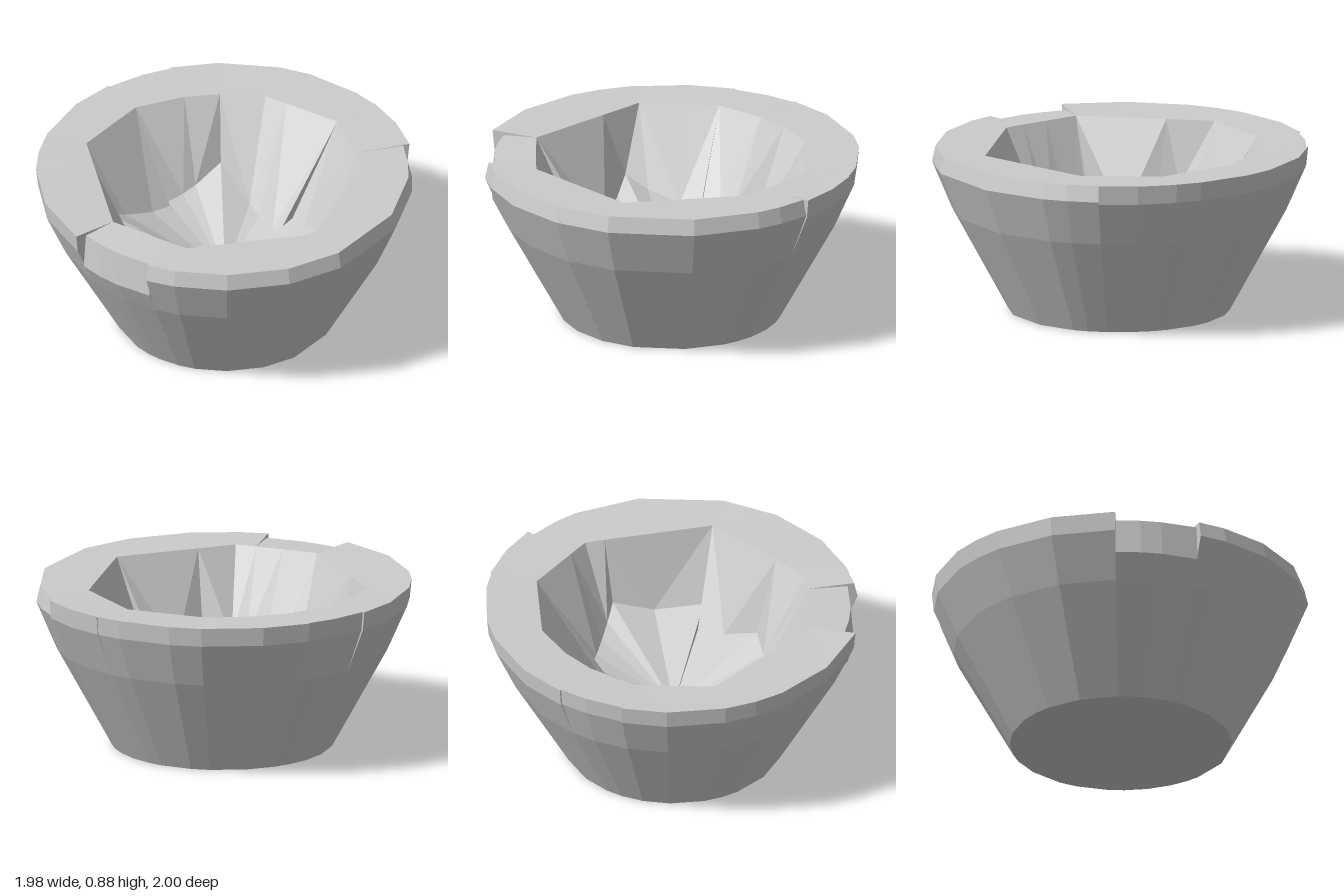
import * as THREE from 'three';

const FLOOR_Y = 0.22;

// Inner rim corners, counterclockwise from the front
const RIM = [[0, 0.75], [0.43, 0.6], [0.74, 0], [0.41, -0.6], [0, -0.75],
  [-0.42, -0.6], [-0.65, -0.35], [-0.76, 0], [-0.66, 0.41], [0, 0.75]];

// Floor edge in each quarter
const FLOOR = {
  frontLeft: [[0, 0.56], [0.13, 0.5], [0.43, 0.33], [0.46, 0]],
  backLeft: [[0.57, 0], [0.41, -0.45], [0, -0.45]],
  backRight: [[0, -0.36], [-0.49, -0.36], [-0.49, 0]],
  frontRight: [[-0.47, 0], [-0.47, 0.42], [0, 0.42]],
};

// Outer lip: shoulder and top edge as height and share of the radius
const PLAIN = { shoulder: [0.78, 0.99], top: [0.88, 1] };
const FLARED = { shoulder: [0.79, 1], top: [0.875, 0.98] };
const NOTCH = { shoulder: [0.67, 0.965], top: [0.86, 0.95] };

// Name, quarter, lip, outer radius, facet angles in degrees from the front
const SEGMENTS = [
  ['frontNotchSegment', 'frontLeft', NOTCH, 0.98, [0, 8, 15, 27]],
  ['frontLeftSegment', 'frontLeft', FLARED, 0.985, [27, 36, 52.5, 72, 90]],
  ['backLeftSegment', 'backLeft', FLARED, 0.985, [90, 117, 138, 146, 156]],
  ['backSegment', 'backLeft', PLAIN, 1, [156, 168, 180]],
  ['backRightSegment', 'backRight', PLAIN, 0.995, [180, 188, 205, 215, 234, 249]],
  ['rightSegment', 'backRight', PLAIN, 0.985, [249, 258, 270]],
  ['frontRightSegment', 'frontRight', PLAIN, 0.995, [270, 284, 302, 312, 321, 340, 360]],
];

// Distance from the centre to a polyline in direction (dx, dz)
function reach(line, dx, dz) {
  for (let i = 0; i < line.length - 1; i++) {
    const [px, pz] = line[i], [qx, qz] = line[i + 1];
    const p = dx * pz - dz * px, q = dx * qz - dz * qx;
    const t = p / (p - q);
    const dist = dx * (px + (qx - px) * t) + dz * (pz + (qz - pz) * t);
    if (t > -1e-6 && t < 1 + 1e-6 && dist > 0) return dist;
  }
}

// Closed cross-section from the base centre, up the outside, down the inside
function crossSection(degrees, quarter, lip, radius) {
  const a = THREE.MathUtils.degToRad(degrees);
  const dx = Math.sin(a), dz = Math.cos(a);
  const floor = reach(FLOOR[quarter], dx, dz);
  return [
    [0, 0],
    [0.585, 0],
    [0.88, 0.54],
    [radius * lip.shoulder[1], lip.shoulder[0]],
    [radius * lip.top[1], lip.top[0]],
    [reach(RIM, dx, dz), 0.87],
    [floor, FLOOR_Y + 0.8 * floor * floor],
    [0, FLOOR_Y],
  ].map(([r, y]) => [dx * r, y, dz * r]);
}

// Solid wedge of the bowl lofted through its cross-sections
function wedge(sections) {
  const pos = [];
  const tri = (a, b, c) => pos.push(...a, ...b, ...c);

  for (let i = 0; i < sections.length - 1; i++) {
    const A = sections[i], B = sections[i + 1];
    tri(A[0], B[1], A[1]);
    for (let j = 1; j < 6; j++) {
      // Alternating diagonals give the irregular facets
      if ((i + j) % 2) {
        tri(A[j], B[j], B[j + 1]);
        tri(A[j], B[j + 1], A[j + 1]);
      } else {
        tri(A[j], B[j], A[j + 1]);
        tri(B[j], B[j + 1], A[j + 1]);
      }
    }
    tri(A[6], B[6], A[7]);
  }

  // End faces, showing as steps where neighbouring wedges differ
  const first = sections[0], last = sections[sections.length - 1];
  const cap = [[0, 1, 6], [0, 6, 7], [1, 2, 6], [2, 5, 6], [2, 3, 5], [3, 4, 5]];
  for (const [a, b, c] of cap) {
    tri(first[a], first[b], first[c]);
    tri(last[a], last[c], last[b]);
  }

  const geometry = new THREE.BufferGeometry();
  geometry.setAttribute('position', new THREE.Float32BufferAttribute(pos, 3));
  geometry.computeVertexNormals();
  return geometry;
}

export function createModel() {
  const group = new THREE.Group();
  group.name = 'facetedBowl';
  const material = new THREE.MeshStandardMaterial({ color: 0xcccccc, flatShading: true });
  for (const [name, quarter, lip, radius, angles] of SEGMENTS) {
    const sections = angles.map((a) => crossSection(a, quarter, lip, radius));
    const mesh = new THREE.Mesh(wedge(sections), material);
    mesh.name = name;
    group.add(mesh);
  }
  return group;
}
